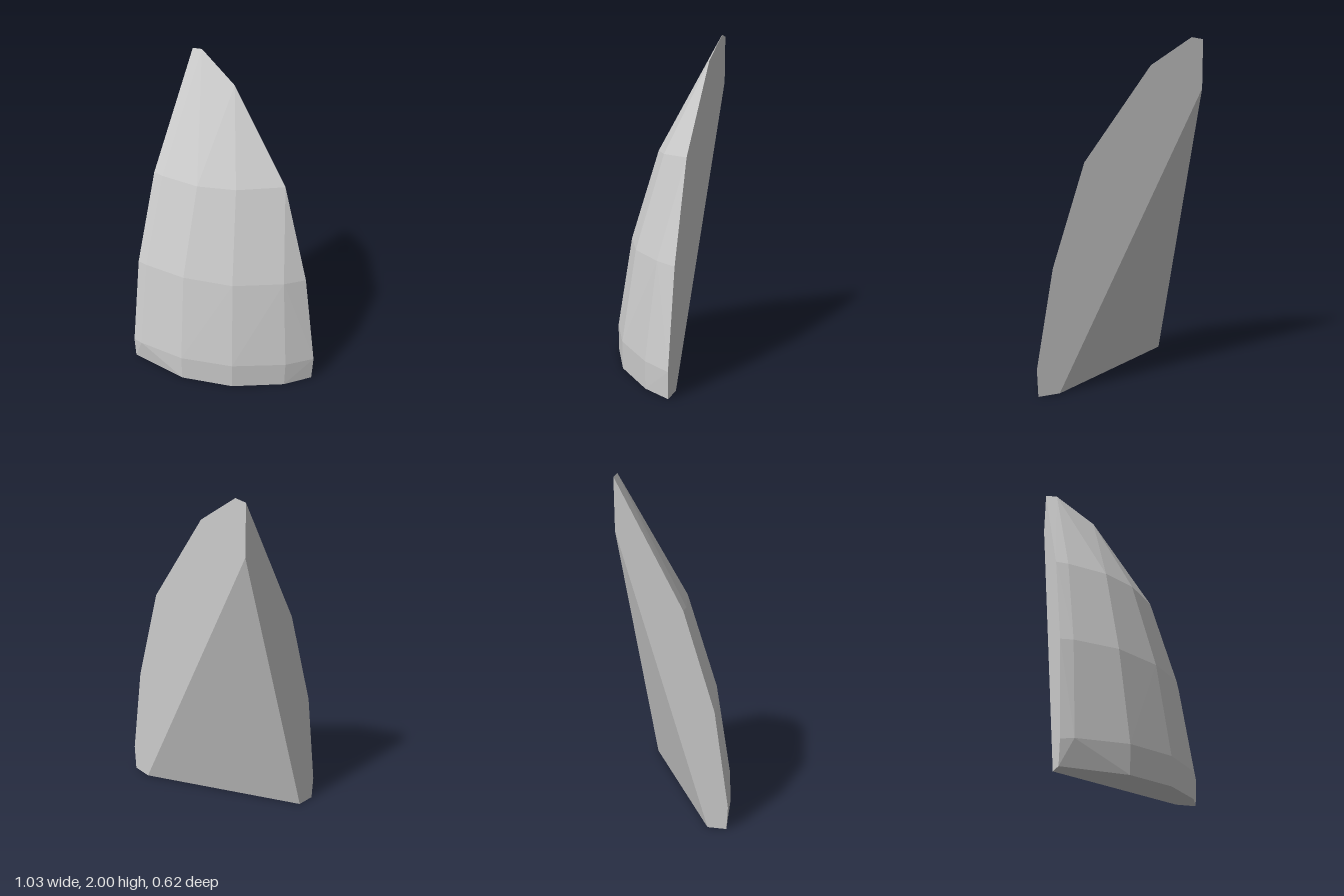
import * as THREE from 'three';
import { ConvexGeometry } from 'three/addons/geometries/ConvexGeometry.js';

const LEFT = -0.515, BACK = -0.31; // the two flat break planes

// Curved outer face: each ring lists [x, y, z] from the side break to the back break
const rings = [
  [[LEFT, 0, 0.3], [-0.12, 0, 0.258], [0.178, 0, 0.103], [0.417, 0, -0.138], [0.508, 0, BACK]],
  [[LEFT, 0.14, 0.307], [-0.44, 0.15, 0.312], [-0.12, 0.165, 0.26], [0.18, 0.17, 0.105], [0.42, 0.165, -0.138], [0.515, 0.16, BACK]],
  [[LEFT, 0.725, 0.225], [-0.44, 0.73, 0.228], [-0.16, 0.735, 0.18], [0.12, 0.73, 0.04], [0.345, 0.735, -0.18], [0.415, 0.73, BACK]],
  [[LEFT, 1.295, 0.052], [-0.44, 1.295, 0.054], [-0.19, 1.295, 0.012], [0.02, 1.3, -0.1], [0.225, 1.31, BACK]],
  [[LEFT, 1.99, BACK], [-0.44, 2, BACK], [-0.18, 1.84, BACK]],
];

// Slanted triangular cut across the inner corner
const innerCut = [[LEFT, 1.71, BACK], [0.38, 0, BACK], [LEFT, 0, 0.19]];

export function createModel() {
  const group = new THREE.Group();
  group.name = 'brokenDomeShard';

  // Faceted solid enclosed by the outer rings and the inner cut
  const points = [...rings.flat(), ...innerCut].map((p) => new THREE.Vector3(...p));
  const shard = new THREE.Mesh(
    new ConvexGeometry(points),
    new THREE.MeshStandardMaterial({ color: 0xcccccc, flatShading: true })
  );
  shard.name = 'shard';
  group.add(shard);
  return group;
}
